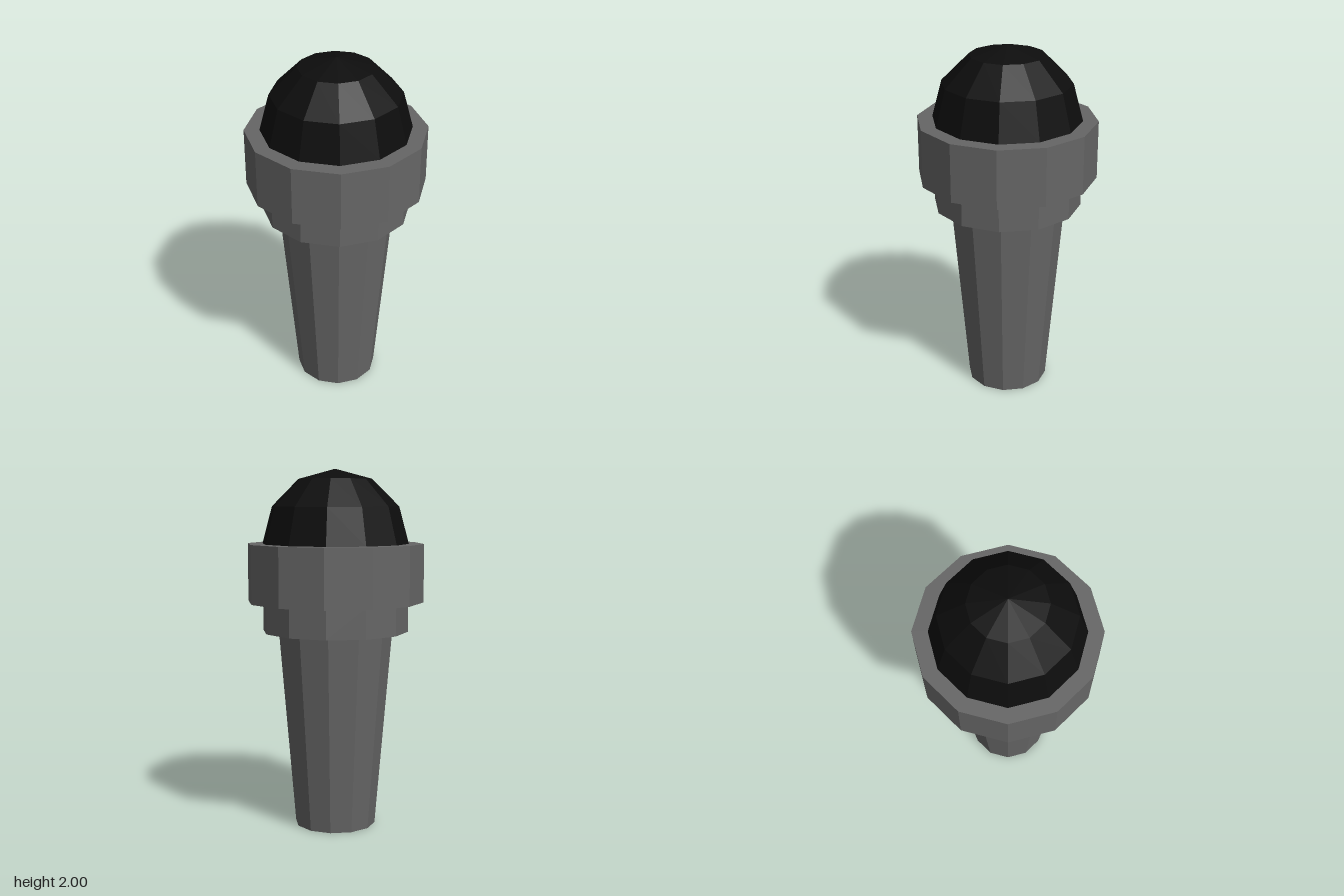
import * as THREE from 'three';

const SIDES = 12;

export function createModel() {
  const model = new THREE.Group();
  model.name = 'microphone';

  const grey = new THREE.MeshStandardMaterial({ color: 0x666666, flatShading: true });
  const shell = grey.clone();
  shell.side = THREE.DoubleSide;
  const black = new THREE.MeshStandardMaterial({ color: 0x0d0d0d, flatShading: true });

  const add = (name, geometry, material, y) => {
    const mesh = new THREE.Mesh(geometry, material);
    mesh.name = name;
    mesh.position.y = y;
    model.add(mesh);
  };

  // A twelve-sided drum standing between two heights
  const drum = (name, rTop, rBottom, y0, y1, material, open = false) =>
    add(name, new THREE.CylinderGeometry(rTop, rBottom, y1 - y0, SIDES, 1, open), material, (y0 + y1) / 2);

  // Tapered hollow handle, open at the bottom
  drum('handle', 0.32, 0.227, 0, 1.105, shell, true);

  // Stepped collar
  drum('lowerCollar', 0.408, 0.408, 1.105, 1.27, grey);
  drum('upperCollar', 0.492, 0.492, 1.27, 1.592, grey);

  // Domed head
  add('head', new THREE.SphereGeometry(0.408, SIDES, 3, 0, Math.PI * 2, 0, Math.PI / 2), black, 1.592);

  return model;
}
